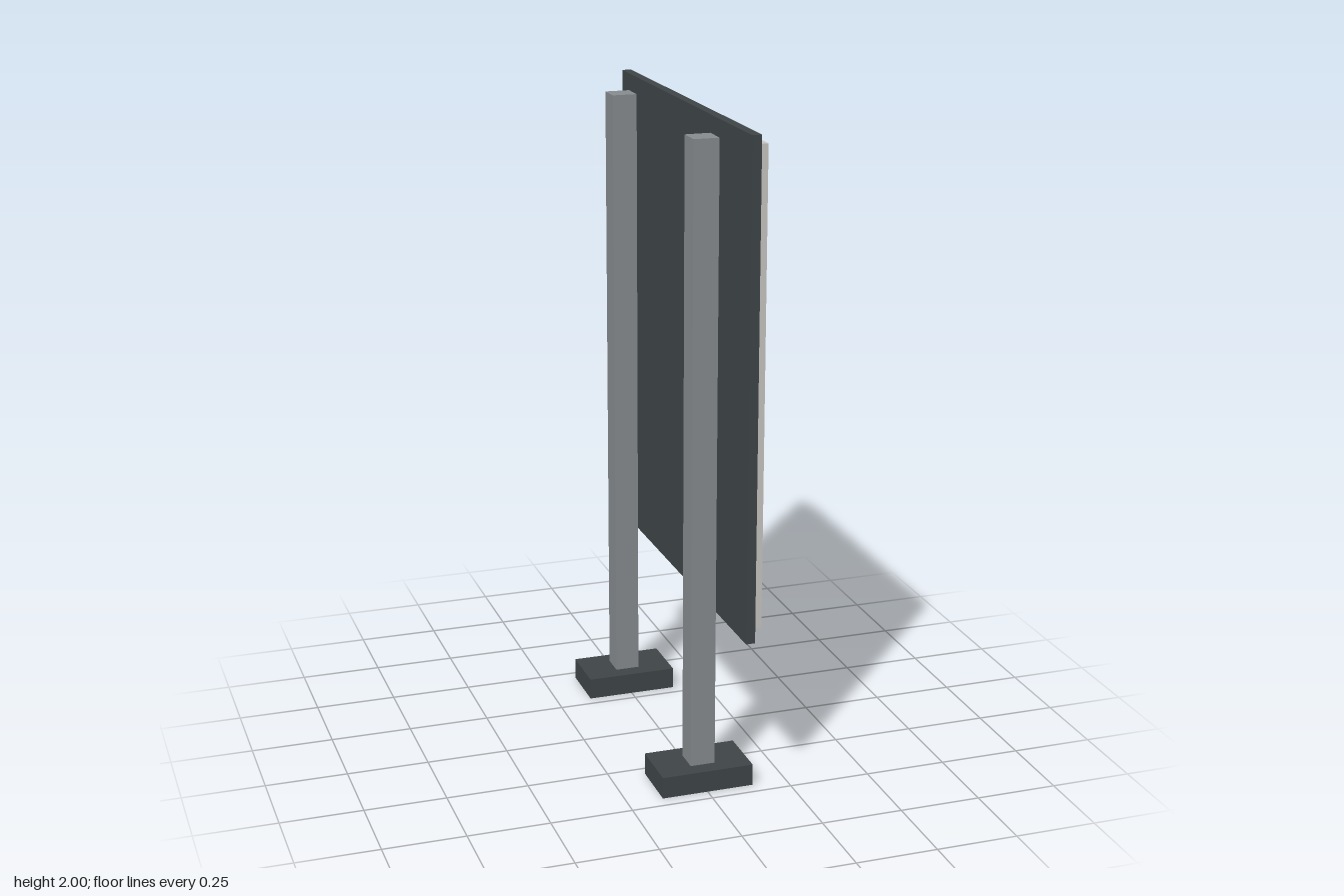
import * as THREE from 'three';

export function createModel() {
  const model = new THREE.Group();
  model.name = 'signBoard';

  const darkMetal = new THREE.MeshStandardMaterial({ name: 'dark metal', color: 0x3f4548 });
  const greyMetal = new THREE.MeshStandardMaterial({ name: 'grey metal', color: 0x878c90 });
  const paleBoard = new THREE.MeshStandardMaterial({ name: 'pale board', color: 0xc9c7c2 });

  // Adds a box spanning the given x and y ranges, centred on z
  function addBox(parent, name, material, [x0, x1], [y0, y1], depth, z = 0) {
    const mesh = new THREE.Mesh(new THREE.BoxGeometry(x1 - x0, y1 - y0, depth), material);
    mesh.position.set((x0 + x1) / 2, (y0 + y1) / 2, z);
    mesh.name = name;
    parent.add(mesh);
  }

  // Two posts, each on a flat foot; the post runs through to the ground
  for (const [side, z] of [['back', -0.372], ['front', 0.372]]) {
    const support = new THREE.Group();
    support.name = side + 'Support';
    addBox(support, side + 'Foot', darkMetal, [-0.142, 0.142], [0.001, 0.068], 0.174, z);
    addBox(support, side + 'Post', greyMetal, [-0.038, 0.038], [0, 1.965], 0.076, z);
    model.add(support);
  }

  // Backing frame and the raised display panel facing +x
  addBox(model, 'backingFrame', darkMetal, [0.07, 0.098], [0.518, 2], 1.158);
  addBox(model, 'displayPanel', paleBoard, [0.098, 0.13], [0.55, 1.968], 1.09);

  return model;
}
